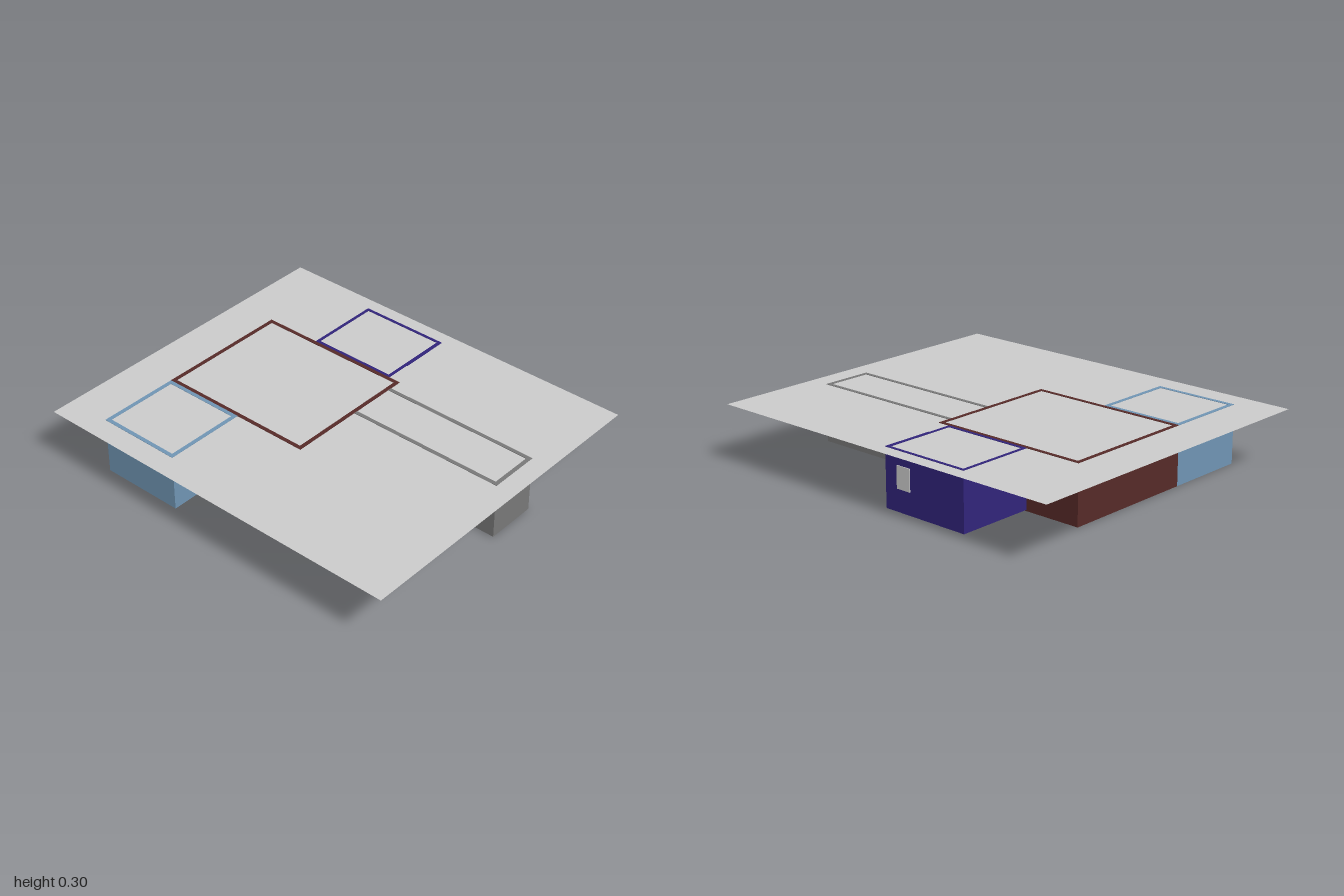
import * as THREE from 'three';

const GROUND_Y = 0.298, TOP_Y = 0.3;

const paint = (color) => new THREE.MeshStandardMaterial({ color });

// Box given by its minimum and maximum corners
function block(name, material, [x0, y0, z0], [x1, y1, z1]) {
  const mesh = new THREE.Mesh(new THREE.BoxGeometry(x1 - x0, y1 - y0, z1 - z0), material);
  mesh.position.set((x0 + x1) / 2, (y0 + y1) / 2, (z0 + z1) / 2);
  mesh.name = name;
  return mesh;
}

// Sunken room: four walls (or three when the west end is open) around a thin floor
function room({ name, wall, floor = wall, x, z, base, t, open = false }) {
  const group = new THREE.Group();
  group.name = name;
  const [x0, x1] = x, [z0, z1] = z;
  const w = paint(wall);
  group.add(
    block('northWall', w, [x0, base, z0], [x1, TOP_Y, z0 + t]),
    block('southWall', w, [x0, base, z1 - t], [x1, TOP_Y, z1]),
    block('eastWall', w, [x1 - t, base, z0 + t], [x1, TOP_Y, z1 - t]),
  );
  if (!open) group.add(block('westWall', w, [x0, base, z0 + t], [x0 + t, TOP_Y, z1 - t]));
  const inner = open ? x0 : x0 + t;
  group.add(block('floor', paint(floor), [inner, base + 0.001, z0 + t], [x1 - t, base + 0.008, z1 - t]));
  return group;
}

export function createModel() {
  const model = new THREE.Group();
  model.name = 'undergroundRooms';

  // Ground sheet covering the rooms; only the wall tops show through
  const sheet = new THREE.PlaneGeometry(2, 1.72).rotateX(-Math.PI / 2);
  const groundMaterial = paint(0xcccccc);
  groundMaterial.side = THREE.DoubleSide;
  const ground = new THREE.Mesh(sheet, groundMaterial);
  ground.name = 'ground';
  ground.position.y = GROUND_Y;
  model.add(ground);

  const navy = 0x31247b, brown = 0x562a28, blue = 0x7095b4, grey = 0x787878;
  const rooms = [
    { name: 'mainRoom', wall: brown, floor: navy, x: [-0.77, 0.065], z: [-0.39, 0.318], base: 0.004, t: 0.02 },
    { name: 'corridor', wall: grey, x: [0.065, 0.897], z: [-0.325, -0.058], base: 0.005, t: 0.02, open: true },
    { name: 'backRoom', wall: navy, x: [-0.473, 0], z: [-0.79, -0.39], base: 0.01, t: 0.016 },
    { name: 'frontRoom', wall: blue, x: [-0.77, -0.33], z: [0.318, 0.745], base: 0.004, t: 0.02 },
  ];
  rooms.forEach((r) => model.add(room(r)));

  // Thin panels set into the walls and floors
  model.add(
    block('backWindow', paint(0xcccccc), [-0.15, 0.12, -0.794], [-0.07, 0.23, -0.77]),
    block('sidePanel', paint(navy), [-0.01, 0.012, -0.788], [0.004, TOP_Y, -0.52]),
    block('floorHatch', paint(0x8a8580), [-0.73, 0, 0.58], [-0.51, 0.014, 0.69]),
    block('floorStep', paint(blue), [-0.72, 0.001, 0.4], [-0.68, 0.014, 0.43]),
  );
  return model;
}
